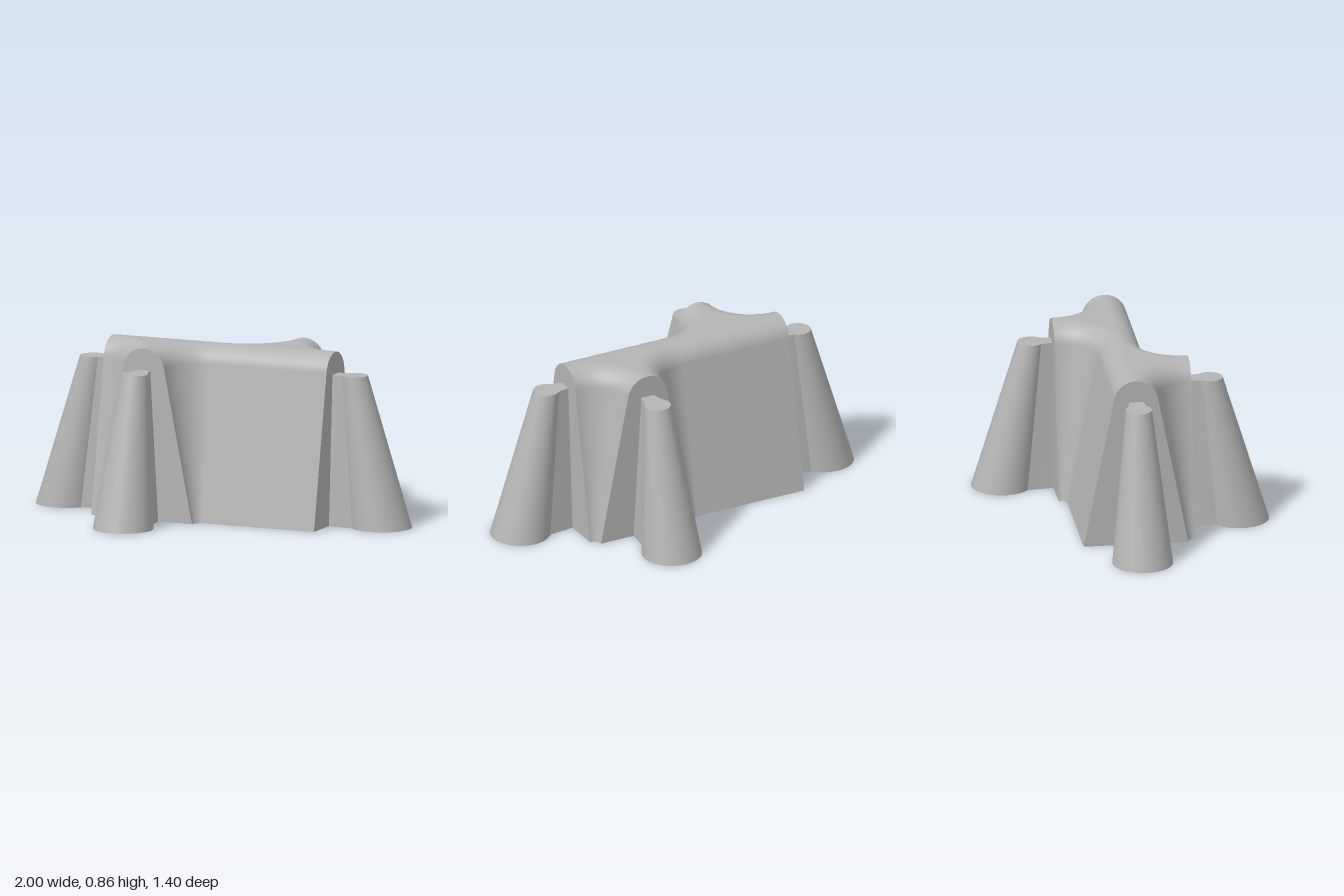
import * as THREE from 'three';

const BASE_W = 0.26, CAP_R = 0.11, CAP_Y = 0.75, TOP = CAP_Y + CAP_R, CELL = 0.3;

// Half cross-section of the wall: sloped side running tangentially into a round cap.
function wallProfile() {
  const a0 = Math.acos(CAP_R / Math.hypot(BASE_W, CAP_Y)) - Math.atan2(CAP_Y, BASE_W);
  const points = [{ w: BASE_W, y: 0, a: a0 }];
  const n = 14;
  for (let i = 0; i <= n; i++) {
    const a = a0 + (Math.PI / 2 - a0) * i / n;
    points.push({ w: CAP_R * Math.cos(a), y: CAP_Y + CAP_R * Math.sin(a), a });
  }
  return points;
}

// Stations along the ridge line: o is the ridge point, d the outward direction (x, z).
function wallStations() {
  const stations = [];
  const n = 20;
  const corner = (cx, from, to) => {
    for (let i = 0; i <= n; i++) {
      const t = from + (to - from) * i / n;
      const u = [Math.cos(t), Math.sin(t)];
      stations.push({ o: [cx + CELL * u[0], CELL + CELL * u[1]], d: [-u[0], -u[1]] });
    }
  };
  corner(-0.6, -Math.PI / 2, 0);
  corner(0, -Math.PI, -Math.PI / 2);
  stations.push({ o: [0.6, 0], d: [0, 1] });
  return stations;
}

// Sweeps the profile along the stations with exact normals.
function sweepWall(stations, profile) {
  const pos = [], nor = [], index = [];
  const m = profile.length;
  for (const { o, d } of stations) {
    for (const { w, y, a } of profile) {
      pos.push(o[0] + d[0] * w, y, o[1] + d[1] * w);
      nor.push(d[0] * Math.cos(a), Math.sin(a), d[1] * Math.cos(a));
    }
  }
  const half = stations.length / 2 - 0.5; // the branch end lies between the two corners
  for (let i = 0; i < stations.length - 1; i++) {
    const [p, q] = [stations[i], stations[i + 1]];
    if (p.d[0] * q.d[0] + p.d[1] * q.d[1] < 0 && Math.abs(i - half) < 2) continue;
    for (let j = 0; j < m - 1; j++) {
      const a = i * m + j, b = a + m;
      index.push(a, b, b + 1, a, b + 1, a + 1);
    }
  }
  const g = new THREE.BufferGeometry();
  g.setAttribute('position', new THREE.Float32BufferAttribute(pos, 3));
  g.setAttribute('normal', new THREE.Float32BufferAttribute(nor, 3));
  g.setIndex(index);
  return g;
}

// Flat polygon from x, y pairs.
const flat = (points) =>
  new THREE.ShapeGeometry(new THREE.Shape(points.map(([x, y]) => new THREE.Vector2(x, y))));

// Leaning tapered peg
function pegGeometry() {
  const g = new THREE.CylinderGeometry(0.065, 0.15, 0.75, 48);
  g.translate(0, 0.375, 0);
  const lean = new THREE.Matrix4().set(
    1, -0.145 / 0.75, 0, 0.85,
    0, 1, 0, 0,
    0, 0, 1, 0,
    0, 0, 0, 1);
  return g.applyMatrix4(lean);
}

// Dovetail web joining a peg to the wall end
function neckGeometry() {
  const g = new THREE.BoxGeometry(1, 0.75, 1);
  const p = g.attributes.position;
  for (let i = 0; i < p.count; i++) {
    const top = p.getY(i) > 0, outer = p.getX(i) > 0, side = Math.sign(p.getZ(i));
    const x = outer ? (top ? 0.67 : 0.74) : 0.6;
    const w = outer ? (top ? 0.048 : 0.093) : (top ? 0.035 : 0.078);
    p.setXYZ(i, x, top ? 0.75 : 0, side * w);
  }
  g.computeVertexNormals();
  return g;
}

export function createModel() {
  const model = new THREE.Group();
  model.name = 'interlockingWallPiece';
  const grey = new THREE.MeshStandardMaterial({ color: 0xb4b4b4 });
  grey.name = 'plain grey';

  const profile = wallProfile();
  const stations = wallStations();
  const outline = [
    ...profile.map(({ w, y }) => [w, y]),
    ...profile.slice(0, -1).reverse().map(({ w, y }) => [-w, y]),
  ];
  const ridge = stations.slice(0, -1).map(({ o }) => [o[0], -o[1]]);
  const foot = stations.map(({ o, d }) => [o[0] + d[0] * BASE_W, o[1] + d[1] * BASE_W]);

  const wallParts = {
    wallSide: sweepWall(stations, profile),
    wallTop: flat(ridge).rotateX(-Math.PI / 2).translate(0, TOP, 0),
    wallUnderside: flat([[-0.6, 0], ...foot, [0.6, 0]]).rotateX(Math.PI / 2),
    wallEnd: flat(outline).rotateY(Math.PI / 2).translate(0.6, 0, 0),
    branchEnd: flat(outline).translate(-0.3, 0, 0.3),
  };
  const peg = pegGeometry();
  const neck = neckGeometry();

  // The piece is two identical halves, turned half a circle about the vertical.
  for (const [name, turn] of [['frontHalf', 0], ['backHalf', Math.PI]]) {
    const half = new THREE.Group();
    half.name = name;
    half.rotation.y = turn;
    const add = (parent, partName, geometry) => {
      const mesh = new THREE.Mesh(geometry, grey);
      mesh.name = partName;
      parent.add(mesh);
    };
    for (const [partName, geometry] of Object.entries(wallParts)) add(half, partName, geometry);

    // Connectors on the wall end and on the branch end
    for (const place of ['wall', 'branch']) {
      const connector = new THREE.Group();
      connector.name = place + 'Connector';
      add(connector, 'peg', peg);
      add(connector, 'neck', neck);
      if (place === 'branch') {
        connector.rotation.y = -Math.PI / 2;
        connector.position.set(-0.3, 0, -0.3);
      }
      half.add(connector);
    }
    model.add(half);
  }
  return model;
}
